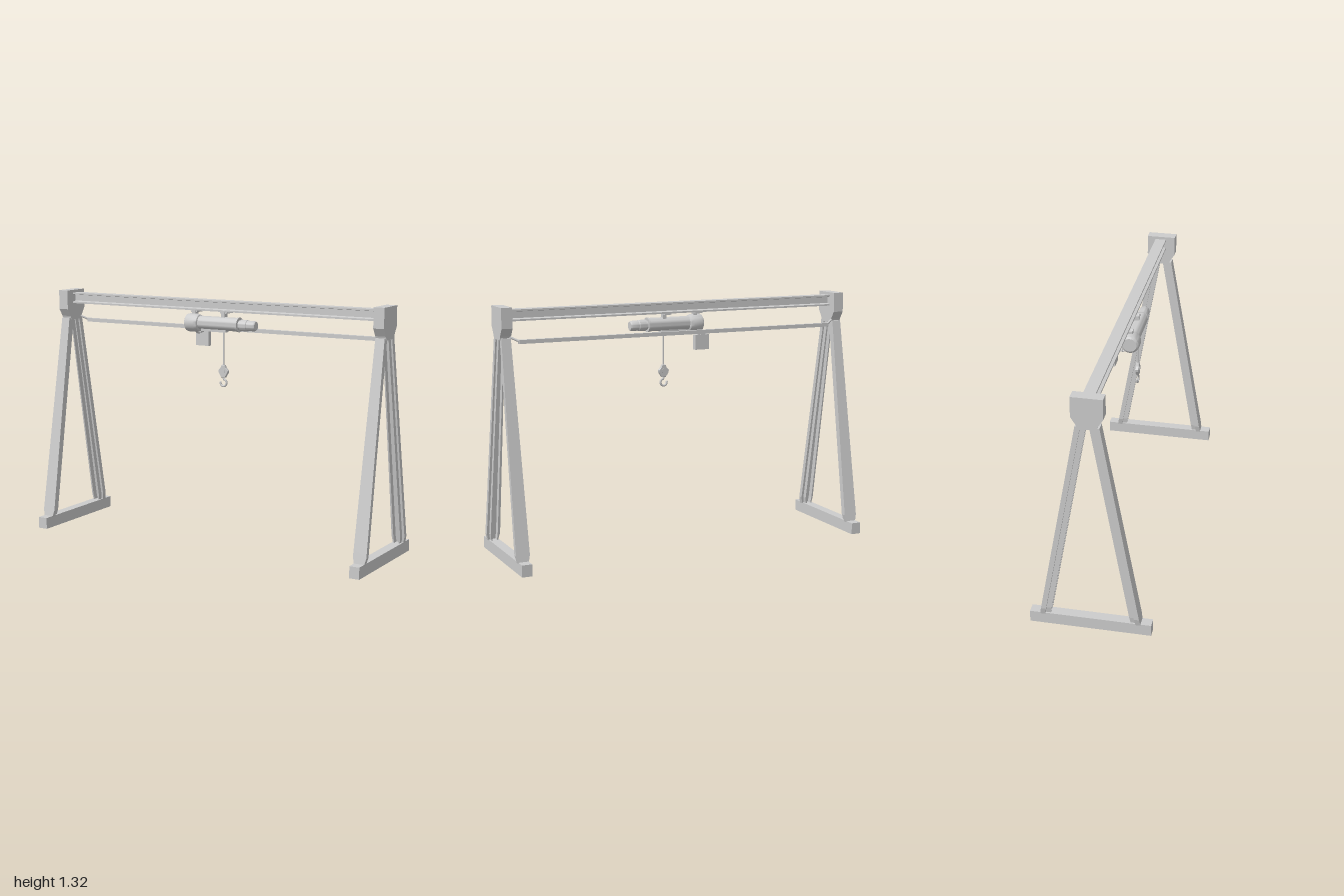
import * as THREE from 'three';
import { toCreasedNormals } from 'three/addons/utils/BufferGeometryUtils.js';

const material = new THREE.MeshStandardMaterial({ color: 0xcccccc, side: THREE.DoubleSide });

function add(parent, name, geometry, x = 0, y = 0, z = 0) {
  const mesh = new THREE.Mesh(geometry, material);
  mesh.name = name;
  mesh.position.set(x, y, z);
  parent.add(mesh);
  return mesh;
}
const box = (w, h, d) => new THREE.BoxGeometry(w, h, d);
const polygon = (pts) => new THREE.Shape(pts.map(([x, y]) => new THREE.Vector2(x, y)));

// Shape drawn in the z-y plane, extruded along x and centred
function extrudeX(pts, length) {
  const g = new THREE.ExtrudeGeometry(polygon(pts), { depth: length, bevelEnabled: false });
  return g.translate(0, 0, -length / 2).rotateY(-Math.PI / 2);
}

// Lathe profile of [radius, x] turned around the x axis
function turned(profile) {
  const g = new THREE.LatheGeometry(profile.map(([r, x]) => new THREE.Vector2(r, x)), 28);
  return toCreasedNormals(g, 0.6).rotateZ(-Math.PI / 2);
}

function rod(parent, name, a, b, radius) {
  const path = new THREE.LineCurve3(new THREE.Vector3(...a), new THREE.Vector3(...b));
  return add(parent, name, new THREE.TubeGeometry(path, 1, radius, 8));
}

// Leaning, tapering leg: wide outer plate with a grooved inner rail
function legGeometry() {
  const section = polygon([
    [-1, 0.026], [-1, 0], [-0.65, 0], [-0.65, -0.026], [-0.4, -0.026], [-0.4, 0.004],
    [0.4, 0.004], [0.4, -0.026], [0.65, -0.026], [0.65, 0], [1, 0], [1, 0.026],
  ]);
  const height = 1.11;
  const g = new THREE.ExtrudeGeometry(section, { depth: height, steps: 28, bevelEnabled: false });
  const p = g.attributes.position;
  for (let i = 0; i < p.count; i++) {
    const t = p.getZ(i) / height;
    const half = t < 0.01 ? 0.027 : THREE.MathUtils.lerp(0.037, 0.025, t);
    const lean = THREE.MathUtils.lerp(0.231, 0.033, t);
    p.setXYZ(i, p.getX(i) * half, 0.055 + t * height, -(lean + p.getY(i)));
  }
  g.computeVertexNormals();
  return g;
}

function createFrame(leg) {
  const frame = new THREE.Group();
  add(frame, 'foot', box(0.054, 0.062, 0.62), 0, 0.031, 0);
  add(frame, 'backLeg', leg);
  add(frame, 'frontLeg', leg).rotation.y = Math.PI;
  add(frame, 'headBlock', extrudeX([
    [-0.078, 1.32], [-0.078, 1.215], [-0.052, 1.175], [-0.045, 1.155],
    [0.045, 1.155], [0.052, 1.175], [0.078, 1.215], [0.078, 1.32],
  ], 0.058));
  return frame;
}

function createHoist() {
  const hoist = new THREE.Group();
  hoist.name = 'hoist';
  const y = 1.185, z = 0.036;
  add(hoist, 'gearHousing', turned([
    [0, -0.17], [0.036, -0.17], [0.046, -0.163], [0.049, -0.15], [0.049, -0.11],
    [0.044, -0.092], [0.038, -0.088], [0, -0.088],
  ]), 0, y - 0.003, z);
  add(hoist, 'drum', turned([[0, -0.09], [0.036, -0.09], [0.036, 0.142], [0.039, 0.142], [0.039, 0.152], [0, 0.152]]), 0, y, z);
  add(hoist, 'motor', turned([
    [0, 0.15], [0.025, 0.15], [0.025, 0.16], [0.03, 0.162], [0.03, 0.2], [0.027, 0.203],
    [0.027, 0.242], [0.022, 0.25], [0, 0.25],
  ]), 0, y - 0.002, z);
  add(hoist, 'ropeGuide', box(0.15, 0.014, 0.036), 0, y - 0.037, z);
  // Hangers to the beam
  for (const x of [-0.125, 0.055]) {
    add(hoist, 'hanger', box(0.02, 0.04, 0.03), x, 1.225, 0.03);
    add(hoist, 'hangerPlate', box(0.04, 0.008, 0.07), x, 1.243, 0.008);
    const pin = add(hoist, 'hangerPin', new THREE.CylinderGeometry(0.012, 0.012, 0.012, 16), x, 1.243, 0.04);
    pin.rotation.x = Math.PI / 2;
  }
  return hoist;
}

function createHook() {
  const hook = new THREE.Group();
  hook.name = 'hookAssembly';
  hook.position.set(0.055, 0, 0.036);
  rod(hook, 'rope', [0, 1.16, 0], [0, 0.95, 0], 0.0035);
  const side = [[0.01, 0.967], [0.016, 0.952], [0.03, 0.938], [0.028, 0.926], [0.012, 0.9]];
  const outline = polygon([...side, ...side.map(([x, y]) => [-x, y]).reverse()]);
  const plate = new THREE.ExtrudeGeometry(outline, {
    depth: 0.012, bevelSize: 0.002, bevelThickness: 0.003, bevelSegments: 1, bevelOffset: -0.002,
  });
  add(hook, 'hookBlock', plate, 0, 0, -0.006);
  const sheave = add(hook, 'sheave', new THREE.CylinderGeometry(0.013, 0.013, 0.022, 20), 0, 0.934, 0);
  sheave.rotation.x = Math.PI / 2;
  const pts = [[0, 0.91], [0, 0.893], [0.012, 0.885], [0.017, 0.871], [0.01, 0.857], [-0.004, 0.853], [-0.016, 0.86], [-0.02, 0.873]];
  const curve = new THREE.CatmullRomCurve3(pts.map(([x, y]) => new THREE.Vector3(x, y, 0)));
  add(hook, 'hook', new THREE.TubeGeometry(curve, 32, 0.006, 10));
  add(hook, 'hookTip', new THREE.SphereGeometry(0.006, 10, 8), -0.02, 0.873, 0);
  return hook;
}

// Rail behind the beam that carries the supply trolley and control box
function createSupplyRail() {
  const rail = new THREE.Group();
  rail.name = 'supplyRail';
  add(rail, 'railChannel', extrudeX([
    [-0.08, 1.156], [-0.08, 1.136], [-0.073, 1.136], [-0.073, 1.151],
    [-0.067, 1.151], [-0.067, 1.136], [-0.06, 1.136], [-0.06, 1.156],
  ], 1.8));
  for (const s of [-1, 1]) rod(rail, 'railBracket', [s * 0.94, 1.17, -0.045], [s * 0.895, 1.148, -0.07], 0.006);
  add(rail, 'controlBox', box(0.08, 0.08, 0.026), -0.125, 1.09, -0.054);
  add(rail, 'boxNeck', box(0.04, 0.014, 0.016), -0.125, 1.135, -0.058);
  add(rail, 'trolleyArm', box(0.022, 0.008, 0.06), -0.125, 1.128, -0.04);
  const cable = new THREE.QuadraticBezierCurve3(
    new THREE.Vector3(-0.125, 1.128, -0.045), new THREE.Vector3(-0.125, 1.115, 0), new THREE.Vector3(-0.125, 1.14, 0.03));
  add(rail, 'supplyCable', new THREE.TubeGeometry(cable, 16, 0.005, 8));
  return rail;
}

export function createModel() {
  const model = new THREE.Group();
  model.name = 'gantryCrane';

  // End frames
  const leg = legGeometry();
  for (const s of [-1, 1]) {
    const frame = createFrame(leg);
    frame.name = s < 0 ? 'rightFrame' : 'leftFrame';
    frame.position.x = s * 0.962;
    model.add(frame);
  }

  // I-section main beam
  const half = [[0.03, 1.305], [0.03, 1.296], [0.006, 1.292], [0.006, 1.259], [0.03, 1.255], [0.03, 1.246]];
  const beam = [...half, ...half.map(([z, y]) => [-z, y]).reverse()];
  add(model, 'mainBeam', extrudeX(beam, 1.88), 0, 0, -0.003);

  model.add(createSupplyRail(), createHoist(), createHook());
  return model;
}
